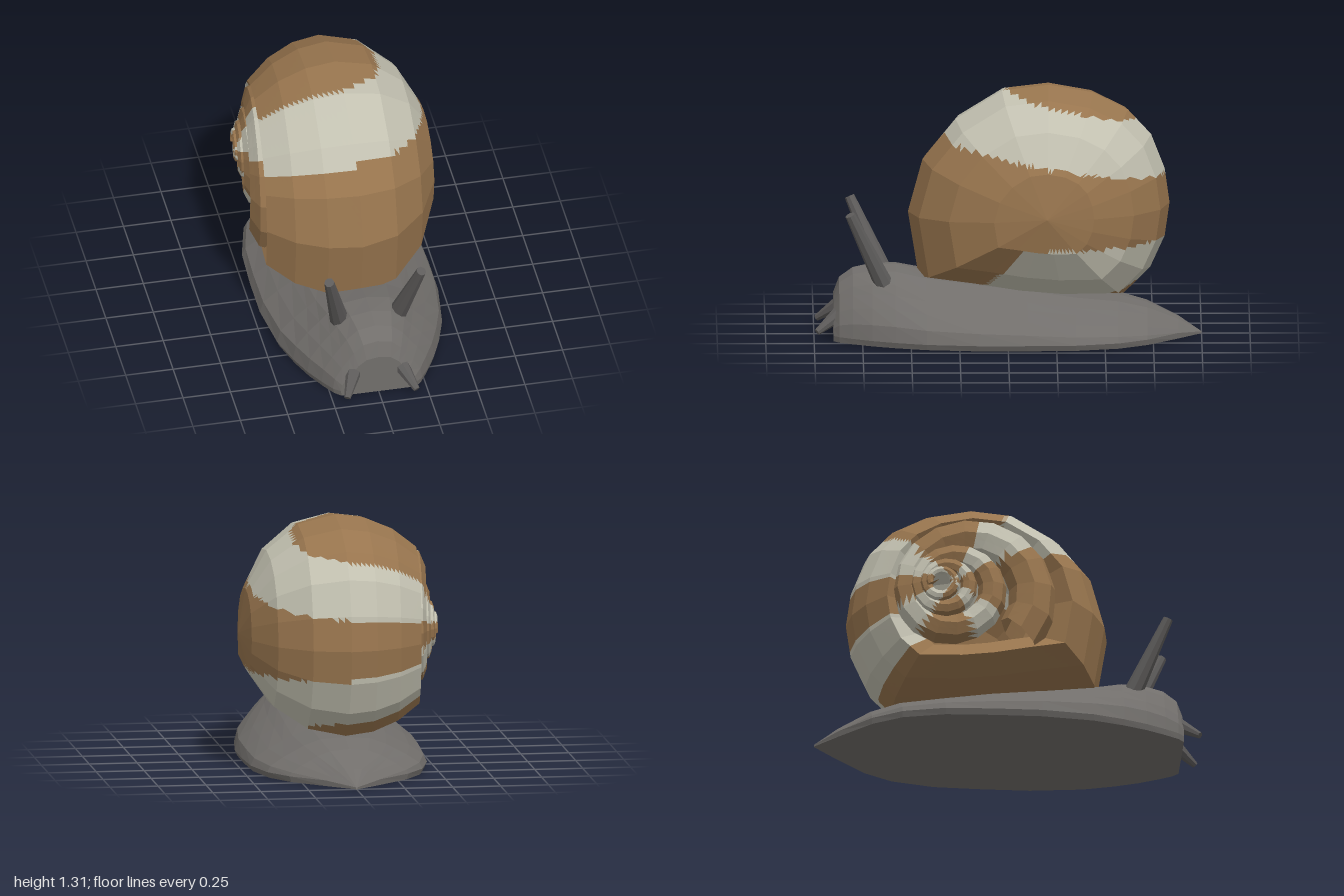
import * as THREE from 'three';

const mat = (name, color) => Object.assign(new THREE.MeshStandardMaterial({ color, side: THREE.DoubleSide }), { name });

// Faceted surface over rows of points; each small triangle takes the material picked at its centre.
function gridMesh(name, rows, mats, pick = () => 0, sub = 1) {
  const lists = mats.map(() => []);
  const at = (a, b, c, d, u, v) => a.clone().lerp(b, u).lerp(d.clone().lerp(c, u), v);
  const tri = (p, q, r) => {
    if (q.clone().sub(p).cross(r.clone().sub(p)).length() < 1e-9) return;
    const mid = p.clone().add(q).add(r).divideScalar(3);
    lists[pick(mid)].push(...p, ...q, ...r);
  };
  for (let i = 0; i < rows.length - 1; i++) {
    const n = rows[i].length;
    for (let j = 0; j < n; j++) {
      const k = (j + 1) % n;
      const c = [rows[i][j], rows[i][k], rows[i + 1][k], rows[i + 1][j]];
      for (let s = 0; s < sub; s++) {
        for (let t = 0; t < sub; t++) {
          const p = [[s, t], [s + 1, t], [s + 1, t + 1], [s, t + 1]].map(([u, v]) => at(...c, u / sub, v / sub));
          tri(p[0], p[1], p[2]);
          tri(p[0], p[2], p[3]);
        }
      }
    }
  }
  const g = new THREE.BufferGeometry();
  g.setAttribute('position', new THREE.Float32BufferAttribute(lists.flat(), 3));
  let start = 0;
  lists.forEach((l, m) => { g.addGroup(start, l.length / 3, m); start += l.length / 3; });
  g.computeVertexNormals();
  const mesh = new THREE.Mesh(g, mats);
  mesh.name = name;
  return mesh;
}

const V = (x, y, z) => new THREE.Vector3(x, y, z);
const angleOf = (y, z) => (THREE.MathUtils.radToDeg(Math.atan2(y, z)) + 360) % 360;
const inBands = (a, bands) => bands.some(([lo, hi]) => a > lo && a < hi);

export function createModel() {
  const model = new THREE.Group();
  const skin = mat('skin grey', 0x716e6b);
  const feeler = mat('feeler grey', 0x5e5c5b);
  const brown = mat('shell brown', 0x98754e);
  const cream = mat('shell cream', 0xc2c0b0);

  // Foot: cross-sections from head to tail as [z, half width, height]
  const sections = [
    [0.9, 0.2, 0.22], [0.87, 0.235, 0.3], [0.8, 0.28, 0.35], [0.7, 0.335, 0.37], [0.58, 0.385, 0.37],
    [0.42, 0.435, 0.335], [0.15, 0.47, 0.3], [-0.1, 0.47, 0.27], [-0.35, 0.46, 0.23],
    [-0.57, 0.405, 0.205], [-0.72, 0.31, 0.165], [-0.88, 0.14, 0.09], [-1, 0.003, 0.01],
  ];
  const half = [[1, 0], [0.96, 0.3], [0.8, 0.51], [0.64, 0.68], [0.53, 0.8], [0.32, 0.95]];
  const arch = [...half.map(([x, y]) => [-x, y]), [0, 1], ...half.slice().reverse()];
  const footRows = sections.map(([z, w, h]) => [
    ...arch.map(([x, y]) => V(x * w, Math.max(y * h, Math.min(0.03, h)), z)),
    V(0.97 * w, 0, z), V(-0.97 * w, 0, z),
  ]);
  footRows.unshift(footRows[0].map(() => V(0, 0.08, 0.9)));
  model.add(gridMesh('foot', footRows, [skin]));

  // Feelers: a long upper pair and a short lower pair
  function addFeeler(name, from, to, r0, r1) {
    const dir = to.clone().sub(from);
    const g = new THREE.CylinderGeometry(r1, r0, dir.length(), 8).toNonIndexed();
    g.computeVertexNormals();
    const m = new THREE.Mesh(g, feeler);
    m.name = name;
    m.position.copy(from).add(to).multiplyScalar(0.5);
    m.quaternion.setFromUnitVectors(V(0, 1, 0), dir.normalize());
    model.add(m);
  }
  for (const s of [1, -1]) {
    const side = s > 0 ? 'left' : 'right';
    addFeeler(side + 'UpperFeeler', V(0.15 * s, 0.28, 0.635), V(0.243 * s, 0.675, 0.815), 0.05, 0.026);
    addFeeler(side + 'LowerFeeler', V(0.125 * s, 0.13, 0.87), V(0.183 * s, 0.046, 0.985), 0.042, 0.017);
  }

  // Body whorl: side outline as [z, y], swept in elliptical arcs from the hub over the rim to the seam
  const cy = 0.7, cz = -0.2;
  const outline = [
    [0.515, 0.645], [0.44, 0.92], [0.27, 1.13], [0.03, 1.28], [-0.21, 1.31], [-0.44, 1.27],
    [-0.62, 1.18], [-0.74, 1.05], [-0.81, 0.87], [-0.835, 0.69], [-0.81, 0.515], [-0.735, 0.35],
    [-0.6, 0.215], [-0.29, 0.21], [-0.05, 0.23], [0.2, 0.27], [0.46, 0.305],
  ];
  const ring = (x, f, tilt) => outline.map(([z, y]) => {
    const pz = cz + (z - cz) * f;
    return V(x - tilt * (pz - cz), cy + (y - cy) * f, pz);
  });
  const whorlRows = [90, 67.5, 45, 22.5, 0, -15, -30, -45].map((deg) => {
    const a = THREE.MathUtils.degToRad(deg), s = Math.sin(a);
    return ring(s * (s > 0 ? 0.505 : 0.6), Math.cos(a), s < 0 ? -s * 0.11 : 0);
  });
  whorlRows.push(ring(-0.33, 0.5, 0.08));

  // Stripes: radial on the spire side, sloping level bands on the hub side
  const whorlColour = ({ x, y, z }) => {
    if (x < 0) return inBands(angleOf(y - cy, z - cz), [[30, 70], [138, 167], [195, 222]]) ? 1 : 0;
    const upper = y > 0.99 + 0.17 * z && y < 1.28 + 0.22 * z;
    const lower = y < 0.525 && y > 0.165 - 0.18 * z && z < -0.05 + (0.5 - y) * 0.75;
    return upper || lower ? 1 : 0;
  };
  model.add(gridMesh('bodyWhorl', whorlRows, [brown, cream], whorlColour, 6));

  // Spire: tapering tube coiling inward to the apex
  const spireRows = [];
  const perTurn = 16, turns = 3.6;
  for (let i = -2; i <= perTurn * turns; i++) {
    const t = (i / perTurn) * Math.PI * 2;
    const s = Math.pow(1.7, -i / perTurn);
    const r = 0.46 * s, rho = 0.27 * r, zc = -0.41 + 0.18 * s;
    const row = [];
    for (let j = 0; j < 8; j++) {
      const p = (j / 8) * Math.PI * 2;
      const d = r - rho + rho * Math.cos(p);
      const zMid = zc + (r - rho) * Math.cos(t);
      const xe = -0.497 - 0.129 * zMid - 0.09 * (1 - s) ** 2;
      row.push(V(xe + rho + rho * Math.sin(p), 0.74 + d * Math.sin(t), zc + d * Math.cos(t)));
    }
    spireRows.push(row);
  }
  const tip = spireRows[spireRows.length - 1];
  spireRows.push(tip.map(() => V(-0.51, 0.74, -0.385)));
  const spireColour = ({ y, z }) =>
    inBands(angleOf(y - 0.74, z + 0.31), [[30, 68], [132, 167], [200, 235], [290, 325]]) ? 1 : 0;
  model.add(gridMesh('spire', spireRows, [brown, cream], spireColour, 2));

  return model;
}
